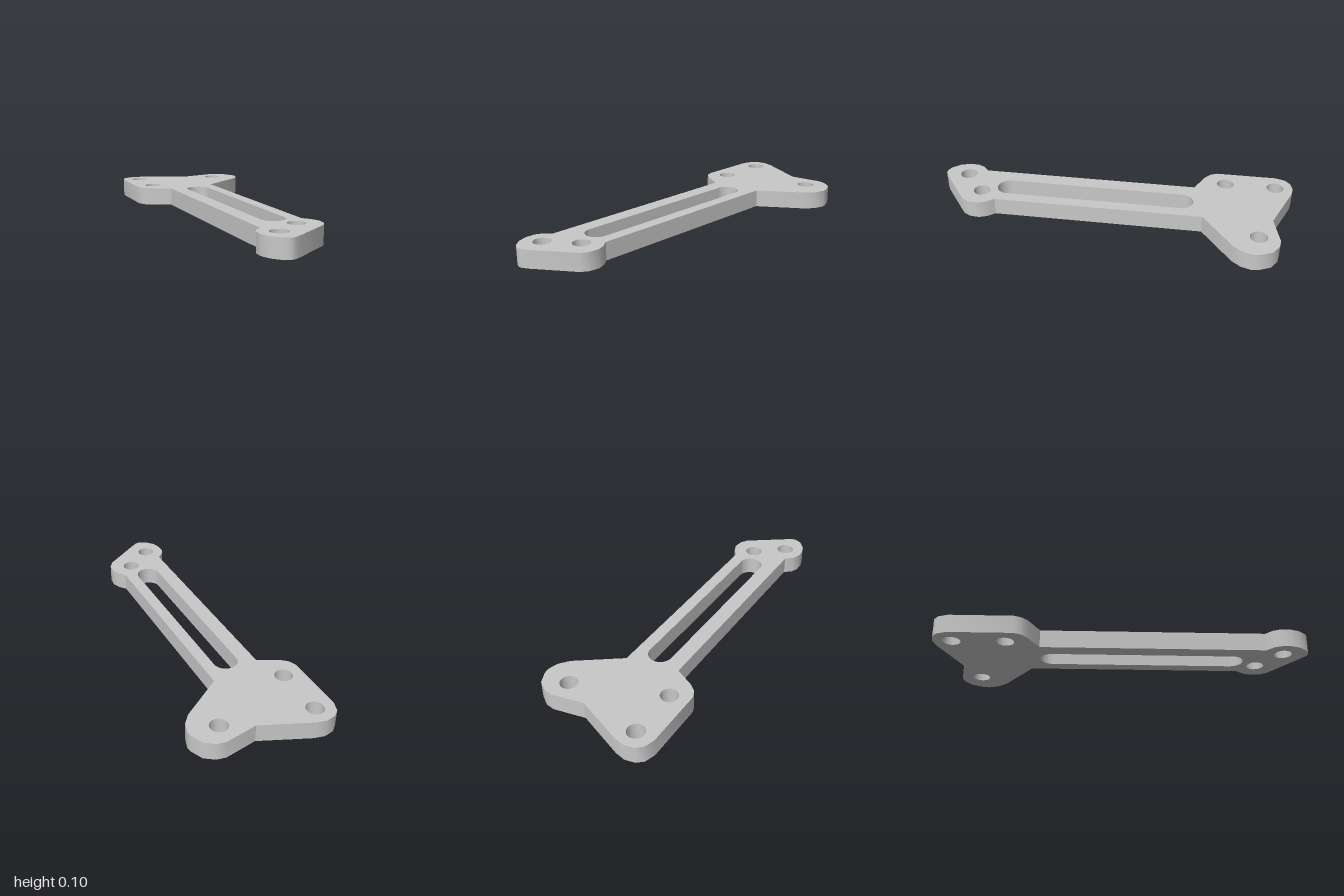
import * as THREE from 'three';
import { toCreasedNormals } from 'three/addons/utils/BufferGeometryUtils.js';

const THICKNESS = 0.099;

// Plate outline as [x, z], with softly faceted corners
const outline = [
  // rounded rear right-hand lobe
  [-0.365, -0.57], [-0.365, -0.905], [-0.347, -0.96], [-0.315, -0.988], [-0.262, -1.0], [-0.205, -0.988],
  // notch and rear left-hand lobe
  [0.056, -0.882], [0.23, -0.918], [0.278, -0.91], [0.33, -0.875], [0.359, -0.813], [0.364, -0.78],
  [0.346, -0.722], [0.307, -0.674],
  // long bar, left edge
  [0.077, -0.505], [0.077, 0.65],
  // front foot
  [0.109, 0.69], [0.126, 0.733], [0.12, 0.79], [0.096, 0.828],
  [-0.11, 0.977], [-0.142, 0.996], [-0.16, 1.0], [-0.178, 0.996], [-0.202, 0.984],
  [-0.24, 0.94], [-0.257, 0.888], [-0.256, 0.838], [-0.239, 0.8],
  // long bar, right edge
  [-0.202, 0.766], [-0.202, -0.446], [-0.31, -0.5], [-0.347, -0.53],
];

const boltHoles = [[-0.261, -0.9], [-0.261, -0.62], [0.211, -0.805], [0.001, 0.741], [-0.154, 0.865]];

function boltHole([x, z]) {
  const path = new THREE.Path();
  path.absarc(x, -z, 0.047, 0, Math.PI * 2, false);
  return path;
}

// Long slot with round ends
function slot(x, zBack, zFront, r) {
  const path = new THREE.Path();
  path.absarc(x, -zBack - r, r, 0, Math.PI, false);
  path.absarc(x, -zFront + r, r, Math.PI, Math.PI * 2, false);
  path.closePath();
  return path;
}

export function createModel() {
  const group = new THREE.Group();
  group.name = 'mountingBracket';
  const metal = new THREE.MeshStandardMaterial({ color: 0xc8c8c8 });
  metal.name = 'grey metal';

  // Flat plate with five bolt holes and a slot, laid on the ground
  const shape = new THREE.Shape(outline.map(([x, z]) => new THREE.Vector2(x, -z)));
  shape.holes.push(...boltHoles.map(boltHole), slot(-0.053, -0.449, 0.663, 0.065));
  const extruded = new THREE.ExtrudeGeometry(shape, { depth: THICKNESS, bevelEnabled: false, curveSegments: 16 });
  extruded.rotateX(-Math.PI / 2);

  const plate = new THREE.Mesh(toCreasedNormals(extruded, 0.57), metal);
  plate.name = 'bracketPlate';
  group.add(plate);
  return group;
}
